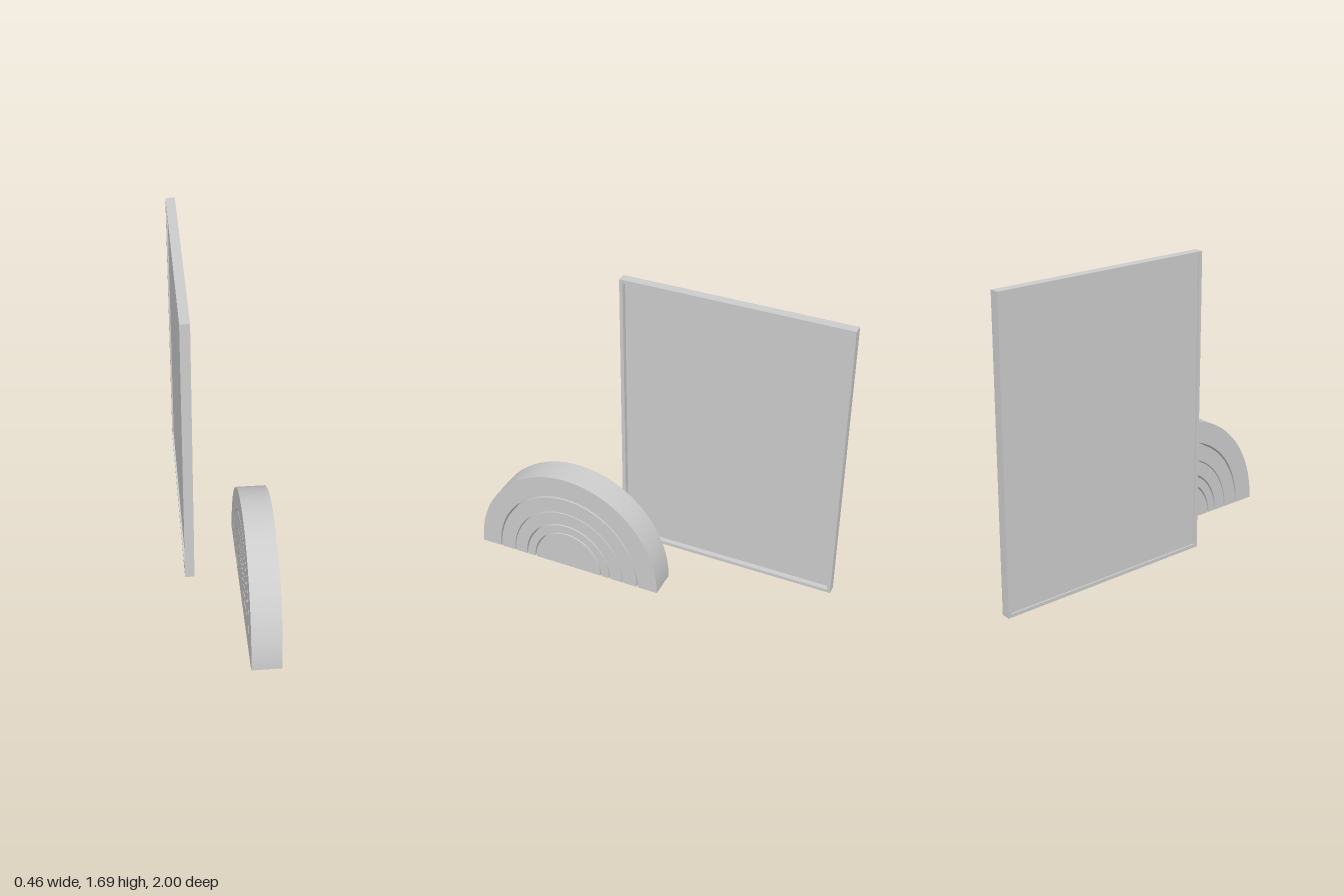
import * as THREE from 'three';

const material = new THREE.MeshStandardMaterial({ color: 0xcccccc });

// Extrudes a side profile along +x, starting at the given x; profile x runs towards -z
function sideExtrude(name, shape, x, thickness, z) {
  const geometry = new THREE.ExtrudeGeometry(shape, { depth: thickness, bevelEnabled: false, curveSegments: 64 });
  geometry.rotateY(Math.PI / 2);
  const mesh = new THREE.Mesh(geometry, material);
  mesh.name = name;
  mesh.position.set(x, 0, z);
  return mesh;
}

function rectangle(path, x0, y0, x1, y1) {
  path.moveTo(x0, y0);
  path.lineTo(x1, y0);
  path.lineTo(x1, y1);
  path.lineTo(x0, y1);
  path.closePath();
  return path;
}

// Half-ellipse band standing on the ground; inner radius 0 gives a solid half disc
function archShape(outer, inner) {
  const stretch = 1.09;
  const shape = new THREE.Shape();
  shape.moveTo(outer, 0);
  shape.absellipse(0, 0, outer, outer * stretch, 0, Math.PI, false);
  if (inner > 0) {
    shape.lineTo(-inner, 0);
    shape.absellipse(0, 0, inner, inner * stretch, Math.PI, 0, true);
  }
  shape.closePath();
  return shape;
}

export function createModel() {
  const model = new THREE.Group();
  model.name = 'boardAndArches';

  // Framed board: thin rim around a recessed panel
  const width = 1.285, height = 1.69, rim = 0.02;
  const board = new THREE.Group();
  board.name = 'framedBoard';
  const frame = rectangle(new THREE.Shape(), -width / 2, 0, width / 2, height);
  frame.holes.push(rectangle(new THREE.Path(), -width / 2 + rim, rim, width / 2 - rim, height - rim));
  board.add(sideExtrude('boardFrame', frame, -0.23, 0.053, -1 + width / 2));
  const panel = new THREE.Mesh(new THREE.BoxGeometry(0.014, height - 2 * rim, width - 2 * rim), material);
  panel.name = 'boardPanel';
  panel.position.set(-0.214, height / 2, -1 + width / 2);
  board.add(panel);
  model.add(board);

  // Nested arches, separated by narrow gaps, around a solid core
  const arches = new THREE.Group();
  arches.name = 'nestedArches';
  const bands = [[0.56, 0.444], [0.434, 0.348], [0.342, 0.27], [0.261, 0.215], [0.206, 0]];
  bands.forEach(([outer, inner], i) => {
    const name = inner > 0 ? `arch${i + 1}` : 'archCore';
    arches.add(sideExtrude(name, archShape(outer, inner), 0.068, 0.162, 0.44));
  });
  model.add(arches);

  return model;
}
